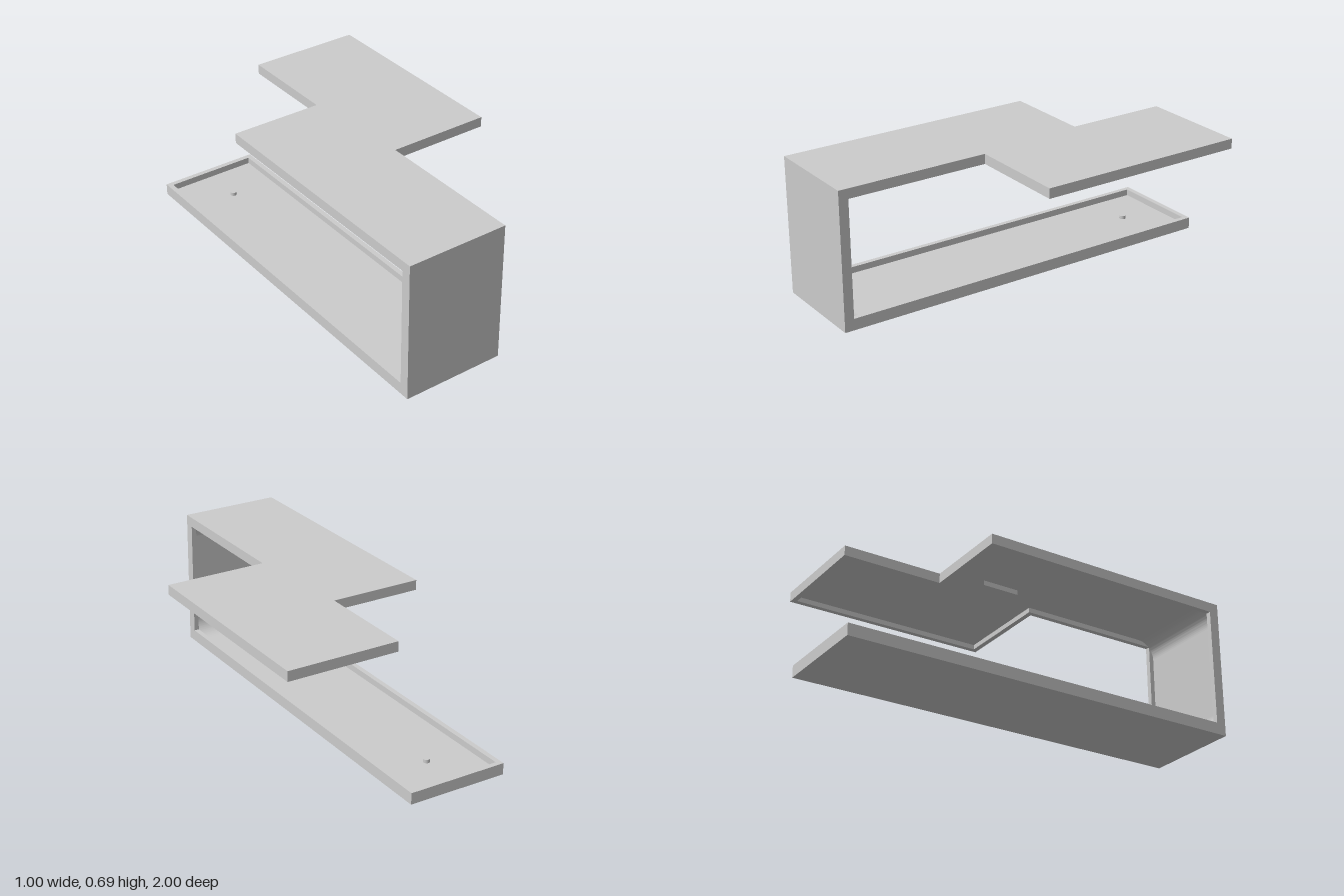
import * as THREE from 'three';
import { toCreasedNormals } from 'three/addons/utils/BufferGeometryUtils.js';

const RIM = 0.025, HEIGHT = 0.685;
const FLOOR = 0.025, FLOOR_RIM = 0.057;      // recessed floor and its rim top
const CEILING = 0.66, CEILING_RIM = 0.636;   // recessed ceiling and its rim bottom
const WALL = 0.975, WALL_RIM = 0.952;        // recessed wall face and its rim face
const FILLET = 0.09;

export function createModel() {
  const group = new THREE.Group();
  const material = new THREE.MeshStandardMaterial({ color: 0xcccccc });

  const add = (name, geometry) => {
    const mesh = new THREE.Mesh(geometry, material);
    mesh.name = name;
    group.add(mesh);
    return mesh;
  };

  // Flat slab from a plan outline of [x, z] points, between two heights
  const slab = (name, plan, y0, y1) => {
    const shape = new THREE.Shape(plan.map(([x, z]) => new THREE.Vector2(x, -z)));
    const geometry = new THREE.ExtrudeGeometry(shape, { depth: y1 - y0, bevelEnabled: false });
    geometry.rotateX(-Math.PI / 2).translate(0, y0, 0);
    return add(name, geometry);
  };

  const box = (name, [x0, x1], [y0, y1], [z0, z1]) => {
    const geometry = new THREE.BoxGeometry(x1 - x0, y1 - y0, z1 - z0);
    geometry.translate((x0 + x1) / 2, (y0 + y1) / 2, (z0 + z1) / 2);
    return add(name, geometry);
  };

  // Floor tray: plate with a rim on three sides, open towards the front wall
  const i = RIM;
  box('floorPlate', [-0.5, 0], [0, FLOOR], [-1, 1]);
  slab('floorRim', [
    [-0.5, WALL], [-0.5, -1], [0, -1], [0, WALL],
    [-i, WALL], [-i, -1 + i], [-0.5 + i, -1 + i], [-0.5 + i, WALL],
  ], FLOOR, FLOOR_RIM);

  // Front wall with a rim along both sides
  box('frontWall', [-0.5, 0], [FLOOR, CEILING], [WALL, 1]);
  for (const x of [-0.5, -i]) {
    box('wallRim', [x, x + i], [FLOOR_RIM, CEILING_RIM], [WALL_RIM, WALL]);
  }

  // Zigzag ceiling tray, recessed on its underside
  slab('ceilingPlate', [
    [-0.5, 1], [0, 1], [0, 0.245], [0.5, 0.245],
    [0.5, -0.8], [-0.05, -0.8], [-0.05, -0.3], [-0.5, -0.3],
  ], CEILING, HEIGHT);
  slab('ceilingRim', [
    [0, WALL], [0, 0.245], [0.5, 0.245], [0.5, -0.8],
    [-0.05, -0.8], [-0.05, -0.3], [-0.5, -0.3], [-0.5, WALL],
    [-0.5 + i, WALL], [-0.5 + i, -0.3 + i], [-0.05 + i, -0.3 + i], [-0.05 + i, -0.8 + i],
    [0.5 - i, -0.8 + i], [0.5 - i, 0.245 - i], [-i, 0.245 - i], [-i, WALL],
  ], CEILING_RIM, CEILING);

  // Rounded transitions between the wall and the two trays
  for (const [name, cornerY, side] of [['floorFillet', FLOOR, 1], ['ceilingFillet', CEILING, -1]]) {
    const shape = new THREE.Shape();
    shape.moveTo(WALL, cornerY);
    shape.lineTo(WALL - FILLET, cornerY);
    shape.absarc(WALL - FILLET, cornerY + side * FILLET, FILLET, -side * Math.PI / 2, 0, side < 0);
    shape.closePath();
    const geometry = new THREE.ExtrudeGeometry(shape, {
      depth: 0.5 - 2 * i, bevelEnabled: false, curveSegments: 16,
    });
    geometry.rotateY(-Math.PI / 2).translate(-i, 0, 0);
    add(name, toCreasedNormals(geometry, 0.5));
  }

  // Angled bumper under the ceiling
  slab('cornerBumper', [[-0.145, 0.072], [0.045, 0.072], [-0.145, -0.115]], CEILING_RIM, CEILING);

  // Small peg near the far end of the floor
  add('floorPeg', new THREE.CylinderGeometry(0.016, 0.016, 0.018, 24))
    .position.set(-0.25, FLOOR + 0.008, -0.765);

  return group;
}
